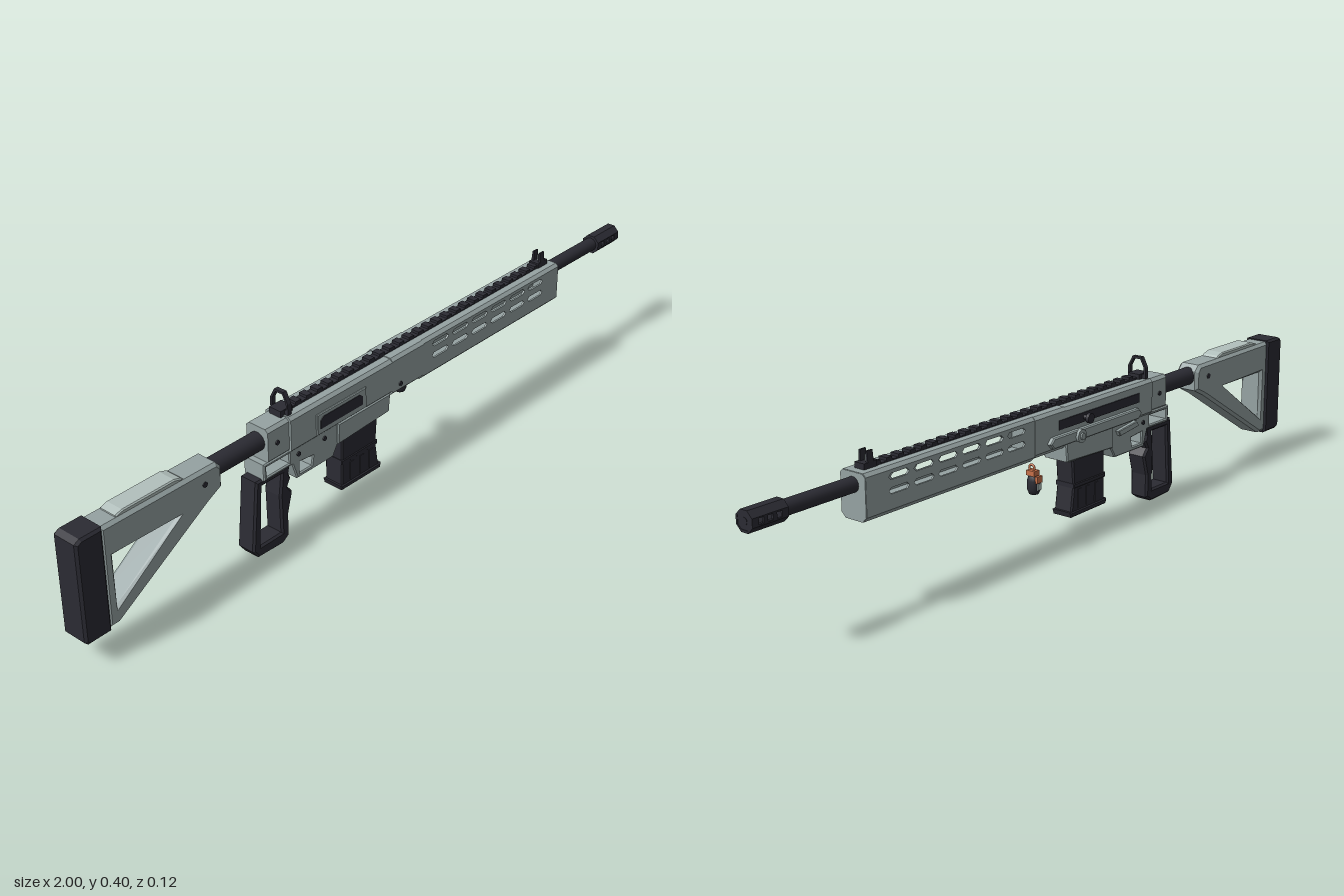
import * as THREE from 'three';

const mat = (name, color) => {
  const m = new THREE.MeshStandardMaterial({ color });
  m.name = name;
  return m;
};

export function createModel() {
  const model = new THREE.Group();
  model.name = 'rifle';
  const body = new THREE.Group();
  body.name = 'body';
  body.position.z = 0.013;
  model.add(body);

  const grey = mat('greyMetal', 0x96a3a3);
  const dark = mat('darkPolymer', 0x2b2b33);
  const orange = mat('copperOrange', 0xc8714a);
  const pale = mat('paleGrey', 0xb2c0bd);

  const add = (name, geo, material, x = 0, y = 0, z = 0) => {
    const m = new THREE.Mesh(geo, material);
    m.name = name;
    m.position.set(x, y, z);
    body.add(m);
    return m;
  };
  const toPts = (p) => p.map(([a, b]) => new THREE.Vector2(a, b));
  // outlines run counter-clockwise and holes clockwise, so that walls face outwards
  const wind = (p, clockwise) => {
    const v = toPts(p);
    return THREE.ShapeUtils.isClockWise(v) === clockwise ? v : v.reverse();
  };
  const outline = (pts, holes = []) => {
    const s = new THREE.Shape(wind(pts, false));
    holes.forEach((h) => s.holes.push(new THREE.Path(wind(h, true))));
    return s;
  };
  const box = (name, material, x0, x1, y0, y1, z0, z1) =>
    add(name, new THREE.BoxGeometry(x1 - x0, y1 - y0, z1 - z0), material,
      (x0 + x1) / 2, (y0 + y1) / 2, (z0 + z1) / 2);
  // side outline (x, y) given thickness from z0 to z1, with chamfered edges
  const slab = (name, material, pts, z0, z1, bevel = 0, holes = []) => {
    const g = new THREE.ExtrudeGeometry(outline(pts, holes), {
      depth: z1 - z0 - 2 * bevel, bevelEnabled: bevel > 0, bevelSegments: 1,
      bevelSize: bevel, bevelThickness: bevel, bevelOffset: -bevel,
    });
    return add(name, g, material, 0, 0, z0 + bevel);
  };
  // cross-section (-z, y) run along x
  const prism = (name, material, pts, x0, x1, holes = []) => {
    const g = new THREE.ExtrudeGeometry(outline(pts, holes), { depth: x1 - x0, bevelEnabled: false });
    g.rotateY(Math.PI / 2);
    return add(name, g, material, x0);
  };
  const rod = (name, material, x0, x1, y, r, sides = 20) => {
    const g = new THREE.CylinderGeometry(r, r, x1 - x0, sides);
    g.rotateZ(Math.PI / 2);
    return add(name, g, material, (x0 + x1) / 2, y);
  };
  const knob = (name, material, x, y, z0, z1, r, sides = 14) => {
    const g = new THREE.CylinderGeometry(r, r, z1 - z0, sides);
    g.rotateX(Math.PI / 2);
    return add(name, g, material, x, y, (z0 + z1) / 2);
  };
  const rect = (x0, x1, y0, y1) => [[x0, y0], [x1, y0], [x1, y1], [x0, y1]];
  const slot = (x0, x1, y, h) => [[x0, y], [x0 + h, y - h], [x1 - h, y - h], [x1, y], [x1 - h, y + h], [x0 + h, y + h]];

  // stock
  slab('stock', grey, [[-0.93, 0.34], [-0.59, 0.337], [-0.575, 0.32], [-0.575, 0.268], [-0.62, 0.245],
    [-0.9, 0.075], [-0.93, 0.075]], -0.034, 0.034, 0.008, [[[-0.9, 0.255], [-0.71, 0.255], [-0.9, 0.122]]]);
  slab('cheekRest', pale, [[-0.88, 0.335], [-0.68, 0.335], [-0.69, 0.343], [-0.71, 0.349], [-0.86, 0.349], [-0.88, 0.343]],
    -0.026, 0.026, 0.003);
  slab('buttPad', dark, [[-1, 0.08], [-0.99, 0.07], [-0.925, 0.07], [-0.925, 0.343], [-0.985, 0.343], [-1, 0.335]],
    -0.037, 0.037, 0.006);
  for (const s of [-1, 1]) knob('stockPin', dark, -0.63, 0.3, s * 0.034 - 0.002, s * 0.034 + 0.002, 0.007);
  rod('bufferTube', dark, -0.59, -0.42, 0.305, 0.024);

  // upper receiver: small chamfers on top, larger ones below
  const section = (w, y0, y1, c, t = 0.008) => [[-w, y0 + c], [-w + c, y0], [w - c, y0], [w, y0 + c],
    [w, y1 - t], [w - t, y1], [-w + t, y1], [-w, y1 - t]];
  prism('receiverRear', grey, section(0.034, 0.25, 0.345, 0.012), -0.43, -0.36);
  prism('receiver', grey, section(0.04, 0.25, 0.348, 0.01), -0.36, 0);
  prism('receiverFront', grey, section(0.041, 0.243, 0.35, 0.012), 0, 0.12);

  // lower receiver with trigger guard and magazine well
  slab('lowerReceiver', grey, [[-0.445, 0.258], [-0.445, 0.213], [-0.35, 0.213], [-0.335, 0.168], [-0.21, 0.168],
    [-0.19, 0.2], [-0.02, 0.2], [-0.01, 0.258]], -0.033, 0.033, 0.003,
  [rect(-0.435, -0.36, 0.222, 0.248), [[-0.325, 0.18], [-0.285, 0.18], [-0.28, 0.205], [-0.325, 0.21]]]);
  slab('trigger', dark, [[-0.31, 0.215], [-0.295, 0.215], [-0.293, 0.2], [-0.285, 0.185], [-0.3, 0.192]], -0.006, 0.006);
  slab('magazineWell', grey, [[-0.195, 0.255], [-0.195, 0.198], [-0.008, 0.205], [-0.003, 0.255]], -0.038, 0.038, 0.003);
  for (const s of [-1, 1]) {
    for (const [x, y, w] of [[-0.33, 0.235, 0.033], [-0.24, 0.235, 0.033], [0.03, 0.27, 0.041], [-0.4, 0.3, 0.034]]) {
      knob('pin', dark, x, y, s * w - 0.003, s * w + 0.003, 0.006);
    }
  }

  // ejection port on the front side
  slab('portFrame', grey, rect(-0.275, -0.1, 0.262, 0.318), 0.038, 0.0445, 0.002);
  slab('ejectionPort', dark, [[-0.265, 0.277], [-0.115, 0.277], [-0.115, 0.3], [-0.125, 0.308], [-0.255, 0.308], [-0.265, 0.3]],
    0.042, 0.046);

  // bolt track and levers on the back side
  slab('boltTrack', dark, rect(-0.3, 0.03, 0.298, 0.322), -0.043, -0.038);
  slab('sideBar', grey, slot(-0.3, 0.075, 0.272, 0.014), -0.053, -0.038, 0.003);
  knob('boltStem', dark, -0.07, 0.31, -0.06, -0.04, 0.006);
  knob('boltKnob', dark, -0.07, 0.31, -0.064, -0.055, 0.013);
  knob('selectorBase', grey, -0.04, 0.27, -0.06, -0.045, 0.018, 8);
  knob('selectorCap', grey, -0.04, 0.27, -0.064, -0.058, 0.009);
  slab('selectorLever', grey, [[-0.3, 0.235], [-0.22, 0.225], [-0.21, 0.24], [-0.29, 0.25]], -0.044, -0.03, 0.002);

  // grip with open middle
  slab('grip', dark, [[-0.465, 0.217], [-0.35, 0.217], [-0.356, 0.19], [-0.35, 0.175], [-0.361, 0.155],
    [-0.345, 0.135], [-0.36, 0.08], [-0.36, 0.018], [-0.383, 0.003], [-0.465, 0.006], [-0.483, 0.03]],
  -0.027, 0.027, 0.005, [[[-0.445, 0.198], [-0.38, 0.198], [-0.388, 0.14], [-0.386, 0.036], [-0.456, 0.036]]]);

  // magazine
  slab('magazine', dark, [[-0.172, 0.21], [-0.04, 0.21], [-0.046, 0.13], [-0.036, 0.06], [-0.174, 0.06]], -0.028, 0.028, 0.004);
  slab('magazineBase', dark, [[-0.18, 0.066], [-0.176, 0.052], [-0.034, 0.05], [-0.03, 0.064]], -0.031, 0.031, 0.003);
  slab('magazineBand', dark, rect(-0.175, -0.044, 0.125, 0.137), -0.03, 0.03, 0.002);
  for (let i = 0; i < 3; i++) box('magazineRib', dark, -0.145 + i * 0.035, -0.13 + i * 0.035, 0.07, 0.12, -0.03, 0.03);

  // hollow handguard: top and bottom shells, slotted side walls, end plate
  prism('handguardTop', grey, [[-0.039, 0.338], [-0.039, 0.342], [-0.031, 0.35], [0.031, 0.35], [0.039, 0.342], [0.039, 0.338]], 0.12, 0.69);
  prism('handguardBottom', grey, [[-0.039, 0.262], [-0.039, 0.25], [-0.026, 0.237], [0.026, 0.237], [0.039, 0.25], [0.039, 0.262]], 0.12, 0.69);
  const slots = [];
  for (let i = 0; i < 6; i++) {
    for (const y of [0.326, 0.293]) slots.push(slot(0.155 + i * 0.08, 0.22 + i * 0.08, y, 0.0075));
  }
  for (const s of [-1, 1]) {
    slab('handguardSide', grey, rect(0.12, 0.69, 0.262, 0.338), s * 0.0365 - 0.0025, s * 0.0365 + 0.0025, 0, slots);
  }
  prism('handguardEnd', grey, section(0.038, 0.238, 0.349, 0.012), 0.68, 0.6915);

  // toothed top rail
  box('rail', dark, -0.37, 0.64, 0.345, 0.353, -0.012, 0.012);
  for (let i = 0; i < 27; i++) {
    const x = -0.35 + i * 0.0372;
    box('railTooth', dark, x, x + 0.018, 0.352, 0.36, -0.012, 0.012);
  }

  // rear sight arch
  prism('rearSight', dark, [[-0.028, 0.345], [0.028, 0.345], [0.028, 0.378], [0.014, 0.405], [-0.014, 0.405], [-0.028, 0.378]],
    -0.356, -0.344,
    [[[-0.022, 0.36], [0.022, 0.36], [0.022, 0.378], [0.011, 0.399], [-0.011, 0.399], [-0.022, 0.378]]]);
  box('rearSightBase', dark, -0.37, -0.33, 0.345, 0.362, -0.018, 0.018);

  // front sight
  box('frontSightBase', dark, 0.63, 0.67, 0.345, 0.364, -0.015, 0.015);
  for (const s of [-1, 1]) {
    prism('frontSightWing', dark, [[s * 0.007, 0.362], [s * 0.015, 0.362], [s * 0.012, 0.39], [s * 0.008, 0.39]], 0.64, 0.658);
  }
  box('frontSightPost', grey, 0.647, 0.652, 0.362, 0.38, -0.0015, 0.0015);

  // barrel
  rod('barrel', dark, 0.685, 0.91, 0.32, 0.0185);

  // muzzle brake: octagonal shell with three cross holes
  const R = 0.025, h = 0.0104, by = 0.32;
  const ports = [0.925, 0.95, 0.975].map((x) => rect(x - 0.007, x + 0.007, by - 0.007, by + 0.007));
  for (const s of [1, -1]) {
    const half = [[-R, h], [-h, R], [h, R], [R, h], [R - 0.005, h], [h, R - 0.006], [-h, R - 0.006], [-R + 0.005, h]];
    prism('muzzleShell', dark, half.map(([z, y]) => [z, by + s * y]), 0.9, 1);
    slab('muzzleSide', dark, rect(0.9, 1, by - h, by + h), s * (R - 0.0025) - 0.0025, s * (R - 0.0025) + 0.0025, 0, ports);
  }
  rod('muzzleBack', dark, 0.9, 0.908, by, 0.024, 16);
  rod('muzzleFront', dark, 0.99, 0.999, by, 0.024, 16);
  rod('muzzleBore', dark, 0.998, 1, by, 0.009, 14);

  // hanging charm on the back side
  box('charmBracket', orange, 0.13, 0.15, 0.212, 0.225, -0.061, -0.036);
  const ring = add('charmRing', new THREE.TorusGeometry(0.008, 0.003, 6, 14), orange, 0.14, 0.23, -0.046);
  ring.rotation.y = Math.PI / 2;
  const profile = [[0, 0.163], [0.012, 0.166], [0.017, 0.178], [0.017, 0.2], [0.013, 0.211], [0, 0.214]];
  add('charmBody', new THREE.LatheGeometry(toPts(profile), 12), dark, 0.14, 0, -0.052);
  box('charmStrap', orange, 0.13, 0.15, 0.196, 0.213, -0.071, -0.064);
  box('charmFace', pale, 0.133, 0.147, 0.178, 0.194, -0.0705, -0.067);

  return model;
}
